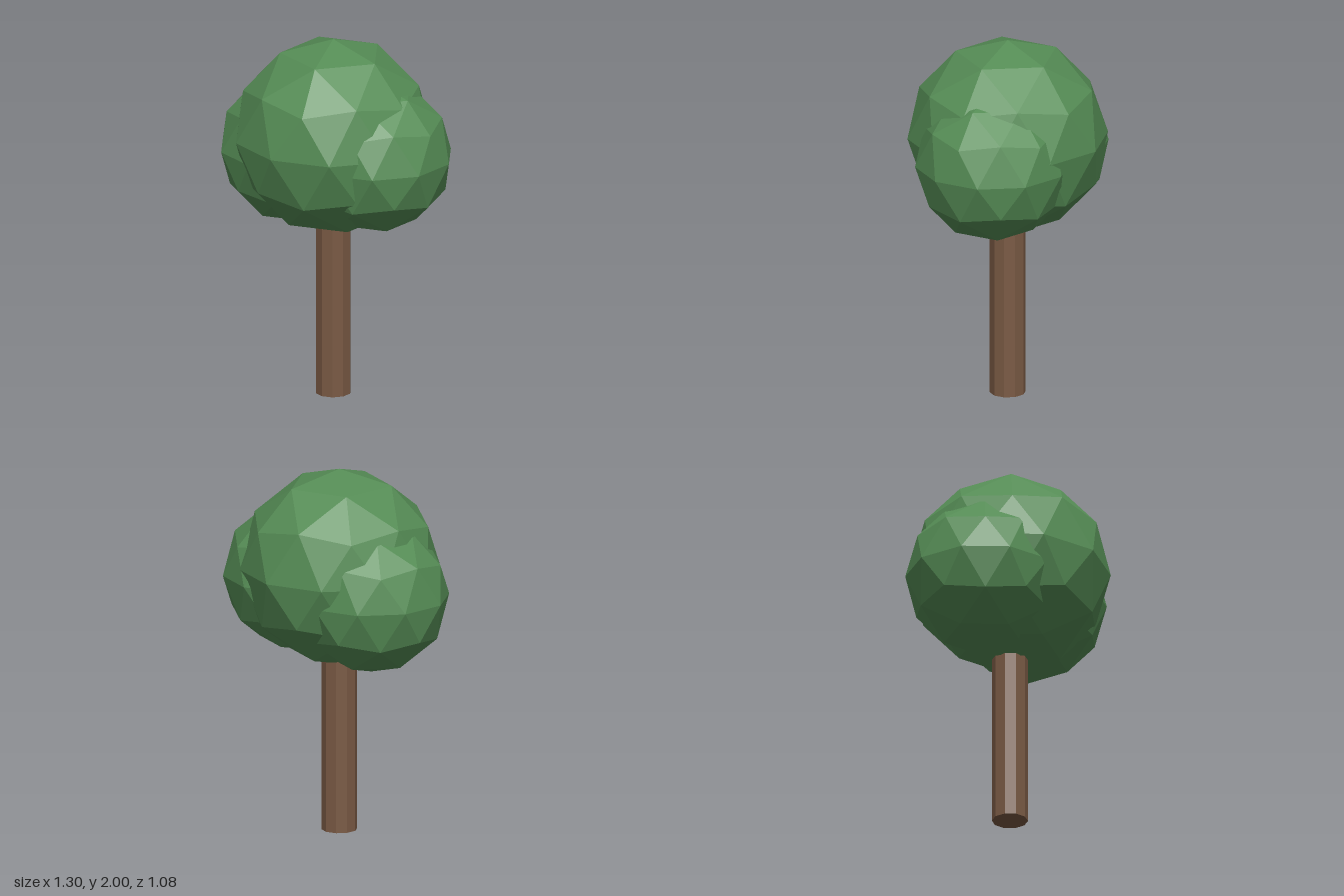
import * as THREE from 'three';

export function createModel() {
  const tree = new THREE.Group();
  tree.name = 'tree';

  const bark = new THREE.MeshStandardMaterial({ color: 0x7a5a44, flatShading: true });
  const leaves = new THREE.MeshStandardMaterial({ color: 0x558c55, flatShading: true });

  // Ten-sided trunk, its top hidden inside the foliage
  const trunk = new THREE.Mesh(new THREE.CylinderGeometry(0.097, 0.097, 1.1, 10), bark);
  trunk.name = 'trunk';
  trunk.position.y = 0.55;
  tree.add(trunk);

  // Faceted foliage ball, turned so that one vertex points straight up
  const tilt = Math.atan(2 / (1 + Math.sqrt(5)));
  function addFoliage(name, radius, x, y, z) {
    const geometry = new THREE.IcosahedronGeometry(radius, 1);
    geometry.rotateZ(-tilt);
    const ball = new THREE.Mesh(geometry, leaves);
    ball.name = name;
    ball.position.set(x, y, z);
    tree.add(ball);
  }
  addFoliage('mainFoliage', 0.541, 0, 1.459, 0);
  addFoliage('leftFoliage', 0.42, 0.249, 1.38, -0.05);
  addFoliage('rightFoliage', 0.42, -0.25, 1.343, 0);

  return tree;
}
